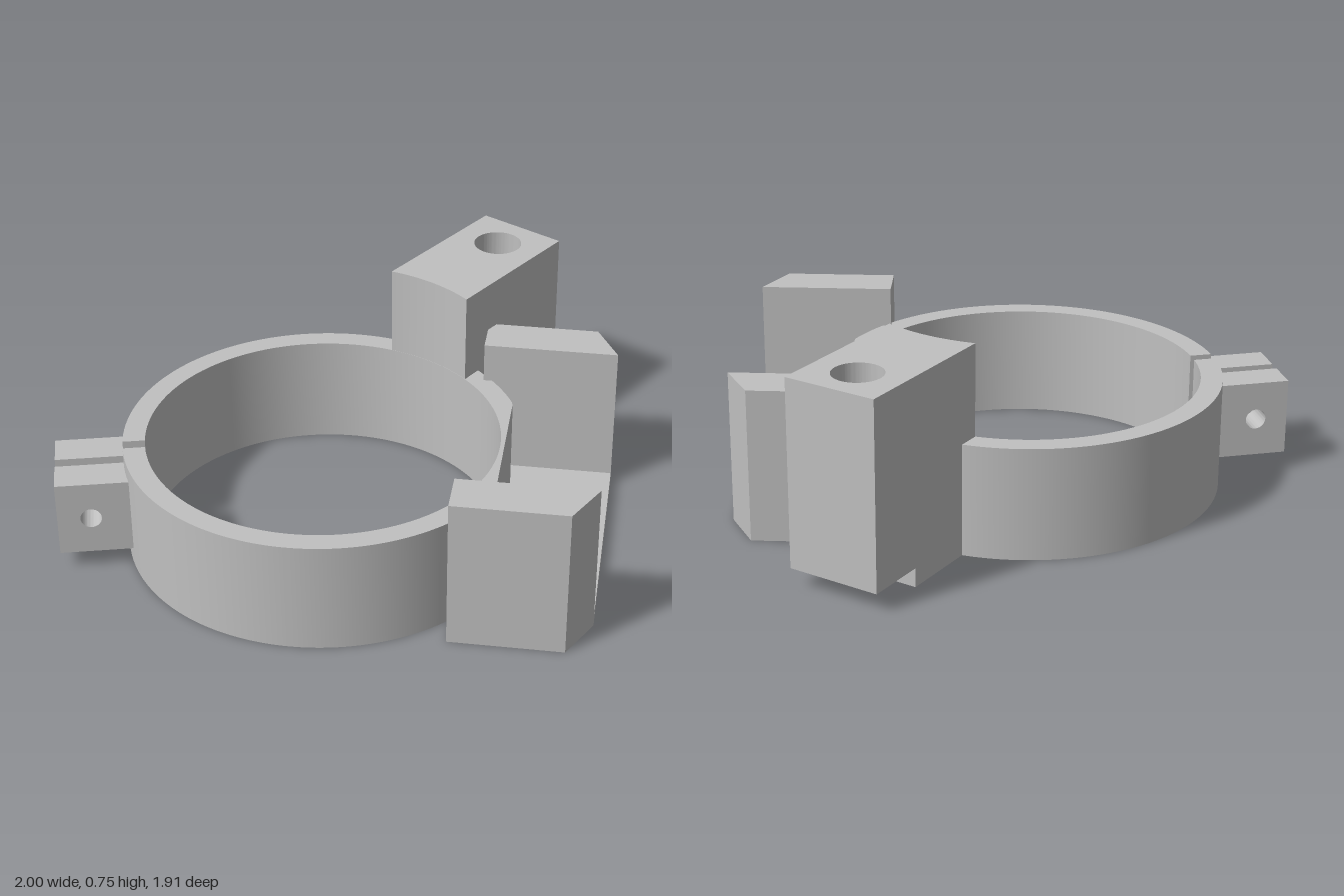
import * as THREE from 'three';
import { toCreasedNormals } from 'three/addons/utils/BufferGeometryUtils.js';

const INNER = 0.64, OUTER = 0.72, FLAT = 0.655, GAP = 0.022;
const rad = THREE.MathUtils.degToRad;

export function createModel() {
  const grey = new THREE.MeshStandardMaterial({ color: 0xc0c0c0 });
  grey.name = 'plain grey';

  const extrude = (shape, depth, curveSegments = 64) =>
    new THREE.ExtrudeGeometry(shape, { depth, bevelEnabled: false, curveSegments });

  // Plan shapes use x and -z; they are raised from y0 to y1.
  function addPlan(parent, name, shape, y0, y1) {
    const geometry = extrude(shape, y1 - y0).rotateX(-Math.PI / 2).translate(0, y0, 0);
    const mesh = new THREE.Mesh(toCreasedNormals(geometry, 0.3), grey);
    mesh.name = name;
    parent.add(mesh);
  }

  // Everything is placed about the ring's axis.
  const model = new THREE.Group();
  model.name = 'clampBracket';
  const body = new THREE.Group();
  body.name = 'clampBody';
  body.position.set(-0.21, 0, -0.17);
  model.add(body);

  // Front cradle, turned 30 degrees
  const cradle = new THREE.Group();
  cradle.name = 'cradle';
  cradle.rotation.y = rad(30);
  body.add(cradle);

  // Split ring with a flat cut on the cradle side
  const slit = rad(105), f = Math.acos(FLAT / OUTER);
  const a = Math.asin(GAP / OUTER), b = Math.asin(GAP / INNER);
  const ring = new THREE.Shape();
  ring.absarc(0, 0, OUTER, slit + a, 1.5 * Math.PI - f, false);
  ring.absarc(0, 0, OUTER, 1.5 * Math.PI + f, slit + 2 * Math.PI - a, false);
  ring.absarc(0, 0, INNER, slit + 2 * Math.PI - b, slit + b, true);
  addPlan(cradle, 'splitRing', ring, 0, 0.415);

  // Cradle floor, hollowed to follow the ring
  const t = Math.acos(0.45 / 0.645);
  const floor = new THREE.Shape();
  floor.moveTo(-0.45, -1.025);
  floor.lineTo(0.45, -1.025);
  floor.absarc(0, 0, 0.645, -t, -Math.PI + t, true);
  addPlan(cradle, 'cradleFloor', floor, 0, 0.045);

  // Cradle arms with slanted front ends
  for (const s of [-1, 1]) {
    const arm = new THREE.Shape([[0.45, 0.53], [0.615, 0.53], [0.615, 0.94], [0.45, 1.025]]
      .map(([u, v]) => new THREE.Vector2(s * u, -v)));
    addPlan(cradle, s < 0 ? 'rightArm' : 'leftArm', arm, 0, 0.565);
  }

  // Side block with a vertical bore, its inner face following the ring
  const r = INNER + 0.001, h = Math.asin(0.175 / r);
  const block = new THREE.Shape();
  block.moveTo(1.21, -0.175);
  block.lineTo(1.21, 0.175);
  block.absarc(0, 0, r, h, -h, true);
  const bore = new THREE.Path();
  bore.absarc(1.05, 0, 0.09, 0, 2 * Math.PI, true);
  block.holes.push(bore);
  addPlan(body, 'sideBlock', block, 0.07, 0.755);

  // Step below the block, notched by the bore
  const n = Math.acos(0.065 / 0.09);
  const step = new THREE.Shape();
  step.moveTo(0.985, -0.175);
  step.absarc(1.05, 0, 0.09, Math.PI + n, Math.PI - n, true);
  step.lineTo(0.985, 0.175);
  step.absarc(0, 0, r, h, -h, true);
  addPlan(body, 'blockStep', step, 0, 0.07);

  // Pair of drilled clamp lugs either side of the slit
  const lugs = new THREE.Group();
  lugs.name = 'clampLugs';
  lugs.rotation.y = rad(-135);
  body.add(lugs);
  const lug = new THREE.Shape([[0.66, 0.07], [0.965, 0.07], [0.965, 0.355], [0.66, 0.355]]
    .map(([x, y]) => new THREE.Vector2(x, y)));
  const screwHole = new THREE.Path();
  screwHole.absarc(0.845, 0.212, 0.038, 0, 2 * Math.PI, true);
  lug.holes.push(screwHole);
  for (const x of [-GAP, GAP + 0.13]) {
    const geometry = extrude(lug, 0.13, 32).rotateY(-Math.PI / 2).translate(x, 0, 0);
    const mesh = new THREE.Mesh(toCreasedNormals(geometry, 0.3), grey);
    mesh.name = 'clampLug';
    lugs.add(mesh);
  }

  return model;
}
